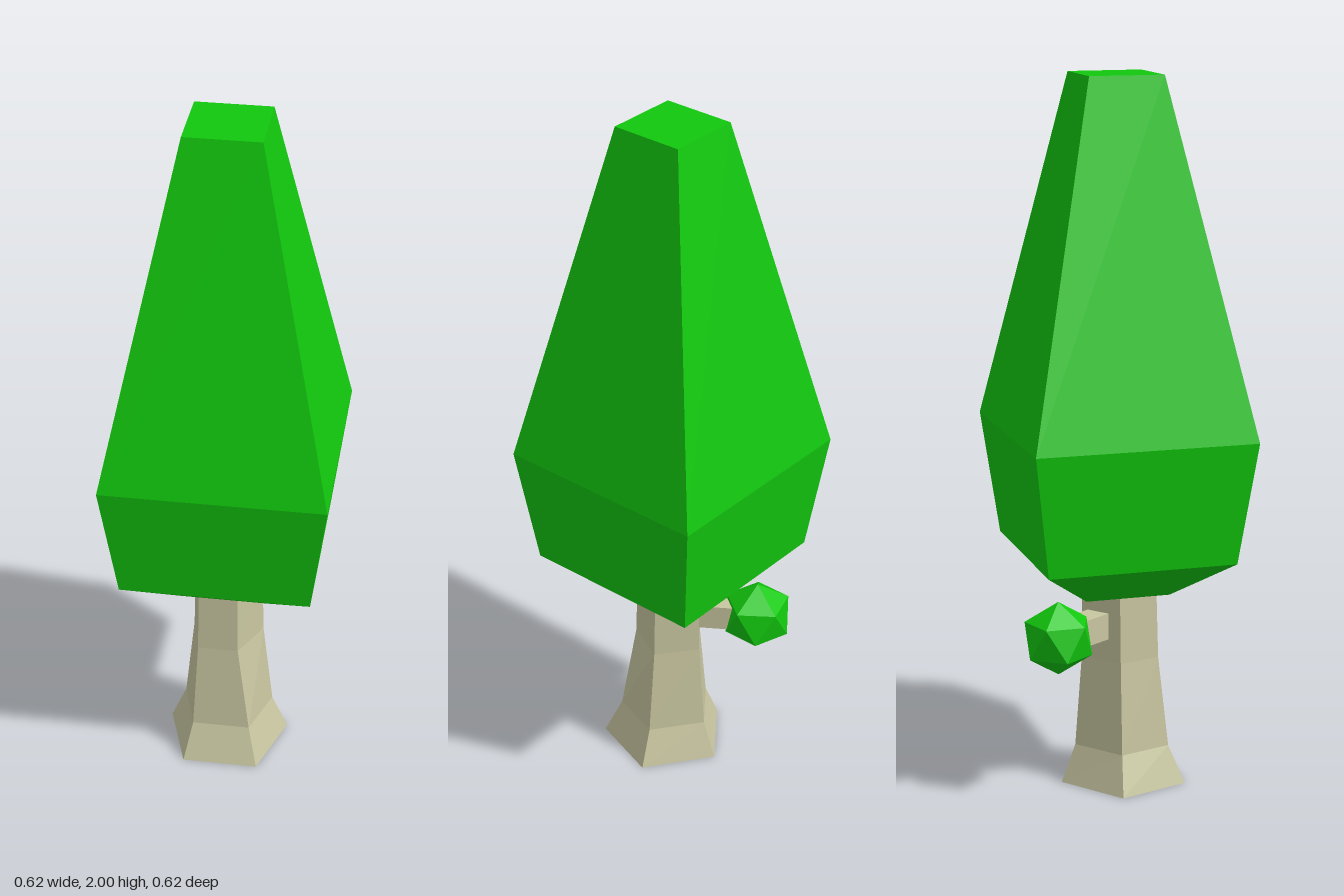
import * as THREE from 'three';
import { ConvexGeometry } from 'three/addons/geometries/ConvexGeometry.js';

const leafMaterial = new THREE.MeshStandardMaterial({ color: 0x12c80e, flatShading: true });
const barkMaterial = new THREE.MeshStandardMaterial({ color: 0xc8c6a0, flatShading: true });

// Skins closed rings of points (each counter-clockwise from above, bottom ring first) and caps both ends.
function loft(rings) {
  const n = rings[0].length;
  const index = [];
  for (let r = 0; r < rings.length - 1; r++) {
    for (let i = 0; i < n; i++) {
      const j = (i + 1) % n;
      const a = r * n + i, b = r * n + j, c = b + n, d = a + n;
      index.push(a, b, c, a, c, d);
    }
  }
  const top = (rings.length - 1) * n;
  for (let i = 1; i < n - 1; i++) {
    index.push(0, i + 1, i);
    index.push(top, top + i, top + i + 1);
  }
  const indexed = new THREE.BufferGeometry();
  indexed.setAttribute('position', new THREE.Float32BufferAttribute(rings.flat(2), 3));
  indexed.setIndex(index);
  const geometry = indexed.toNonIndexed();
  geometry.computeVertexNormals();
  return geometry;
}

function part(name, geometry, material) {
  const mesh = new THREE.Mesh(geometry, material);
  mesh.name = name;
  return mesh;
}

// Icosahedron standing on a vertex, built from two poles and two opposed five-point rings.
function leafBall(radius) {
  const points = [new THREE.Vector3(0, radius, 0), new THREE.Vector3(0, -radius, 0)];
  for (let i = 0; i < 5; i++) {
    const a = (i * Math.PI * 2) / 5;
    const x = Math.cos(a) * radius * 0.894, z = Math.sin(a) * radius * 0.894;
    points.push(new THREE.Vector3(x, radius * 0.447, z), new THREE.Vector3(-x, -radius * 0.447, z));
  }
  return new ConvexGeometry(points);
}

export function createModel() {
  const tree = new THREE.Group();
  tree.name = 'tree';

  // Square crown: [height, half width]
  const crownRings = [[0.565, 0.12], [0.68, 0.267], [1.025, 0.312], [2, 0.105]].map(([y, h]) =>
    [[-h, y, h], [h, y, h], [h, y, -h], [-h, y, -h]]);
  tree.add(part('crown', loft(crownRings), leafMaterial));

  // Five-sided flared trunk: [y, front left x, front right x, side x, front z, side z, back z]
  const trunkRings = [
    [0, -0.108, 0.108, 0.175, 0.173, -0.03, -0.16],
    [0.11, -0.085, 0.08, 0.13, 0.13, -0.02, -0.12],
    [0.37, -0.073, 0.043, 0.102, 0.103, -0.016, -0.1],
    [0.57, -0.07, 0.042, 0.098, 0.098, -0.017, -0.098],
  ].map(([y, xl, xr, xs, zf, zs, zb]) =>
    [[xl, y, zf], [xr, y, zf], [xs, y, zs], [0, y, zb], [-xs, y, zs]]);
  tree.add(part('trunk', loft(trunkRings), barkMaterial));

  // Side branch reaching back and to the right, ending in a ball of leaves
  const tip = new THREE.Vector3(-0.134, 0.472, -0.205);
  const branch = part('branch', new THREE.BoxGeometry(0.07, 0.075, 0.17), barkMaterial);
  branch.position.set(tip.x * 0.6, tip.y, tip.z * 0.6);
  branch.rotation.y = Math.atan2(tip.x, tip.z);
  tree.add(branch);

  const ball = part('branchLeaves', leafBall(0.104), leafMaterial);
  ball.position.copy(tip);
  tree.add(ball);

  return tree;
}
